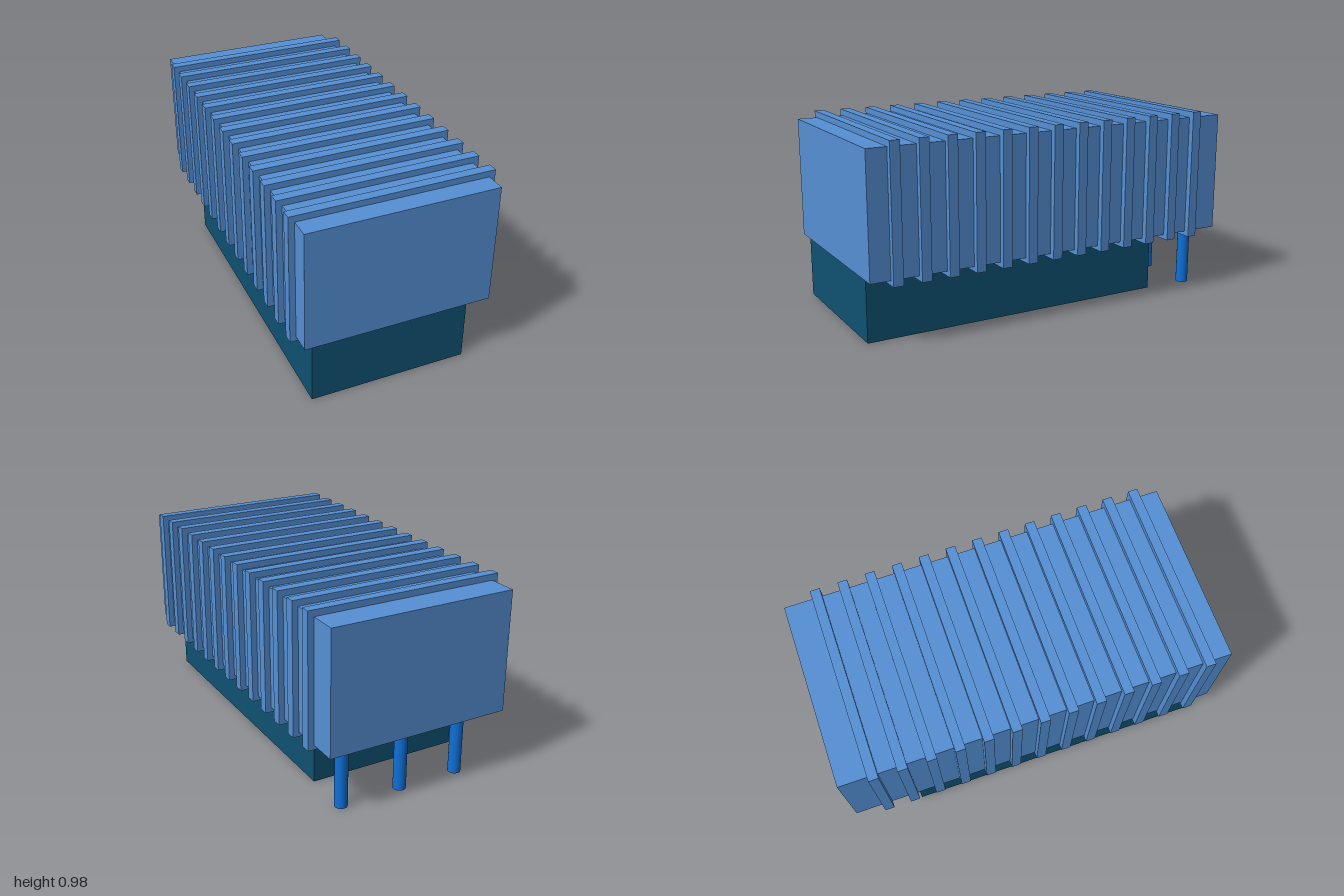
import * as THREE from 'three';

export function createModel() {
  const model = new THREE.Group();
  model.name = 'ribbedBlock';

  const material = (name, color) => {
    const m = new THREE.MeshStandardMaterial({ color });
    m.name = name;
    return m;
  };
  const bodyBlue = material('bodyBlue', 0x5590d5);
  const baseTeal = material('baseTeal', 0x0f5273);
  const pinBlue = material('pinBlue', 0x0f70d8);

  const add = (name, geometry, mat, x, y, z) => {
    const mesh = new THREE.Mesh(geometry, mat);
    mesh.name = name;
    mesh.position.set(x, y, z);
    model.add(mesh);
  };

  // Main block
  add('body', new THREE.BoxGeometry(0.957, 0.617, 1.993), bodyBlue, 0, 0.635, 0);

  // Ribs wrapping the block at even spacing
  const ribGeometry = new THREE.BoxGeometry(1.017, 0.672, 0.05);
  for (let i = 0; i < 13; i++) {
    add('rib' + (i + 1), ribGeometry, bodyBlue, 0, 0.639, 0.87 - i * 0.1413);
  }

  // Pedestal, set towards the front
  add('base', new THREE.BoxGeometry(0.803, 0.327, 1.628), baseTeal, -0.034, 0.1635, 0.162);

  // Row of round pins under the back end
  const pinGeometry = new THREE.CylinderGeometry(0.032, 0.032, 0.33, 24);
  for (let i = 0; i < 3; i++) {
    add('pin' + (i + 1), pinGeometry, pinBlue, 0.36 - i * 0.323, 0.165, -0.894);
  }

  // The whole piece sits very slightly turned
  model.rotation.y = 0.0075;
  return model;
}
